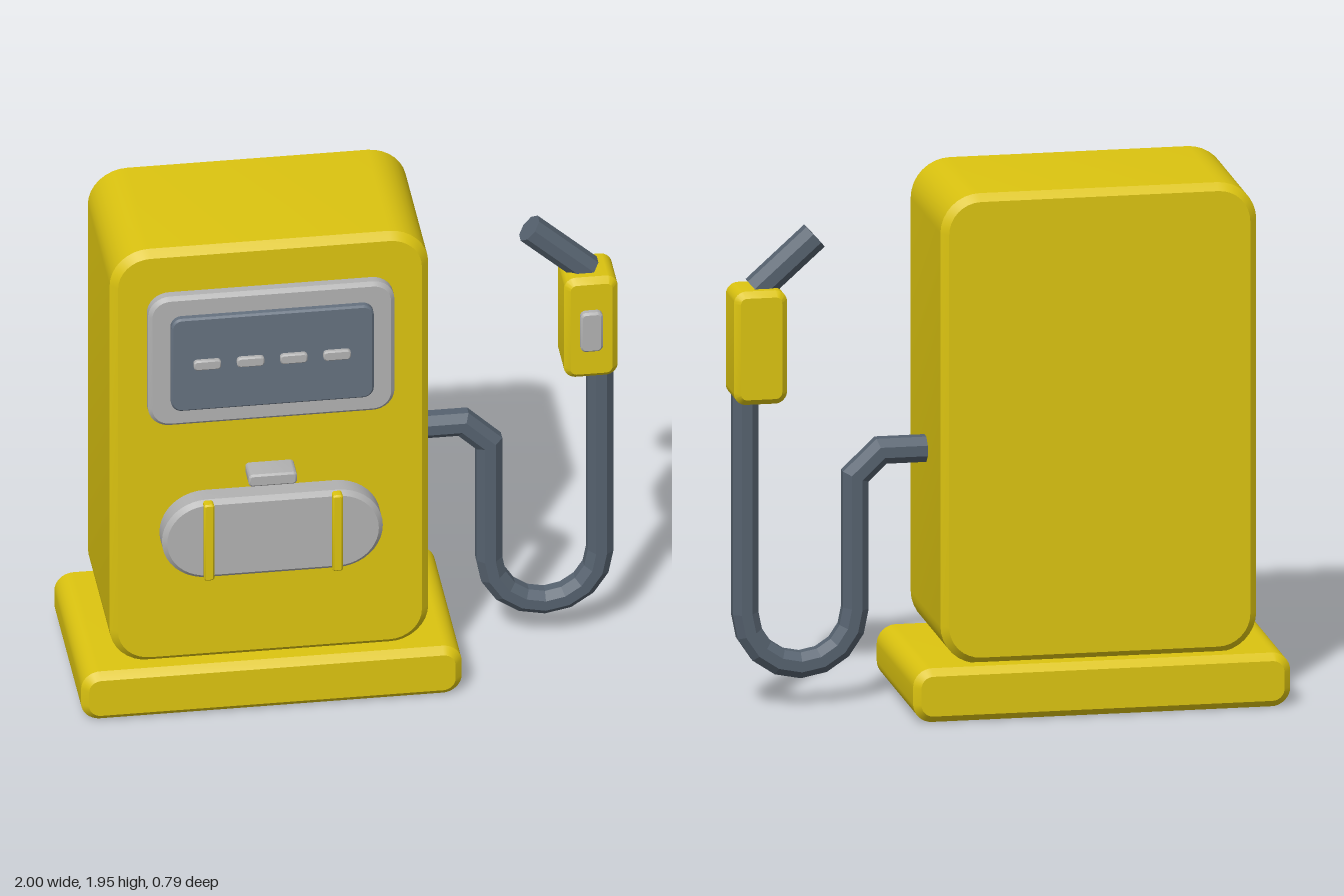
import * as THREE from 'three';
import { toCreasedNormals } from 'three/addons/utils/BufferGeometryUtils.js';

const yellow = new THREE.MeshStandardMaterial({ color: 0xdcc410 });
const grey = new THREE.MeshStandardMaterial({ color: 0xb2b2b2 });
const slate = new THREE.MeshStandardMaterial({ color: 0x65717f });
const rubber = new THREE.MeshStandardMaterial({ color: 0x56626f, flatShading: true });

export function createModel() {
  const model = new THREE.Group();

  const add = (name, geometry, material) => {
    const mesh = new THREE.Mesh(geometry, material);
    mesh.name = name;
    model.add(mesh);
    return mesh;
  };

  // Rounded rectangle facing +z with chamfered front and back rims
  const plate = (name, material, [x0, x1], [y0, y1], [z0, z1], radius, bevel, segments = 4) => {
    const w = (x1 - x0) / 2 - bevel, h = (y1 - y0) / 2 - bevel;
    const r = Math.min(radius - bevel, w, h);
    const shape = new THREE.Shape();
    shape.absarc(w - r, h - r, r, 0, Math.PI / 2);
    shape.absarc(r - w, h - r, r, Math.PI / 2, Math.PI);
    shape.absarc(r - w, r - h, r, Math.PI, Math.PI * 1.5);
    shape.absarc(w - r, r - h, r, Math.PI * 1.5, Math.PI * 2);
    const geometry = new THREE.ExtrudeGeometry(shape, {
      depth: z1 - z0 - 2 * bevel, curveSegments: segments,
      bevelSize: bevel, bevelThickness: bevel, bevelSegments: 1,
    });
    geometry.translate((x0 + x1) / 2, (y0 + y1) / 2, z0 + bevel);
    return add(name, toCreasedNormals(geometry, 0.6), material);
  };

  // Mitred tube along a path in the xy plane, bent from a segmented cylinder
  const pipe = (name, path, radius, z) => {
    const n = path.length - 1;
    const geometry = new THREE.CylinderGeometry(radius, radius, 1, 8, n);
    geometry.rotateY(Math.PI / 8);
    const pos = geometry.attributes.position;
    const dirs = path.slice(1).map((p, i) => p.clone().sub(path[i]).normalize());
    for (let i = 0; i < pos.count; i++) {
      const k = Math.round((pos.getY(i) + 0.5) * n);
      const before = dirs[Math.max(k - 1, 0)], after = dirs[Math.min(k, n - 1)];
      const t = before.clone().add(after).normalize();
      const side = pos.getX(i) / t.dot(after);
      pos.setXYZ(i, path[k].x + t.y * side, path[k].y - t.x * side, z + pos.getZ(i));
    }
    geometry.computeVertexNormals();
    return add(name, geometry, rubber);
  };

  // Cabinet
  plate('base', yellow, [-1, 0.39], [0, 0.2], [-0.395, 0.343], 0.07, 0.026);
  plate('cabinet', yellow, [-0.887, 0.277], [0.195, 1.945], [-0.333, 0.282], 0.145, 0.027);

  // Display with its row of digits
  plate('displayFrame', grey, [-0.755, 0.145], [1.225, 1.772], [0.27, 0.328], 0.08, 0.014);
  plate('displayScreen', slate, [-0.675, 0.065], [1.302, 1.694], [0.3, 0.354], 0.04, 0.007);
  for (let i = 0; i < 4; i++) {
    const x = -0.545 + i * 0.158;
    plate('displayDash', grey, [x - 0.05, x + 0.05], [1.48, 1.52], [0.345, 0.37], 0.014, 0.005, 2);
  }

  // Lower pill-shaped panel, its bands and the grip above it
  plate('panelGrip', grey, [-0.395, -0.218], [0.97, 1.02], [0.27, 0.374], 0.015, 0.007, 2);
  plate('lowerPanel', grey, [-0.71, 0.097], [0.592, 0.922], [0.272, 0.372], 0.165, 0.017, 5);
  for (const x of [-0.542, -0.072]) {
    plate('panelBand', yellow, [x - 0.019, x + 0.019], [0.597, 0.919], [0.35, 0.394], 0.01, 0.006, 2);
  }

  // Hose: out of the cabinet, down, around the loop and up to the handle
  const hosePath = [[0.26, 0.935], [0.442, 0.935], [0.537, 0.845]].map(([x, y]) => new THREE.Vector2(x, y));
  for (let i = 0; i <= 8; i++) {
    const a = Math.PI + (i / 8) * Math.PI;
    hosePath.push(new THREE.Vector2(0.74 + 0.203 * Math.cos(a), 0.355 + 0.203 * Math.sin(a)));
  }
  hosePath.push(new THREE.Vector2(0.943, 1.2));
  pipe('hose', hosePath, 0.051, -0.022);

  // Nozzle
  plate('nozzleHandle', yellow, [0.8, 0.996], [1.143, 1.565], [-0.112, 0.085], 0.045, 0.022);
  plate('nozzleButton', grey, [0.855, 0.937], [1.27, 1.436], [0.07, 0.11], 0.022, 0.008, 3);
  pipe('nozzleSpout', [new THREE.Vector2(0.9, 1.55), new THREE.Vector2(0.684, 1.743)], 0.055, -0.013);

  return model;
}
